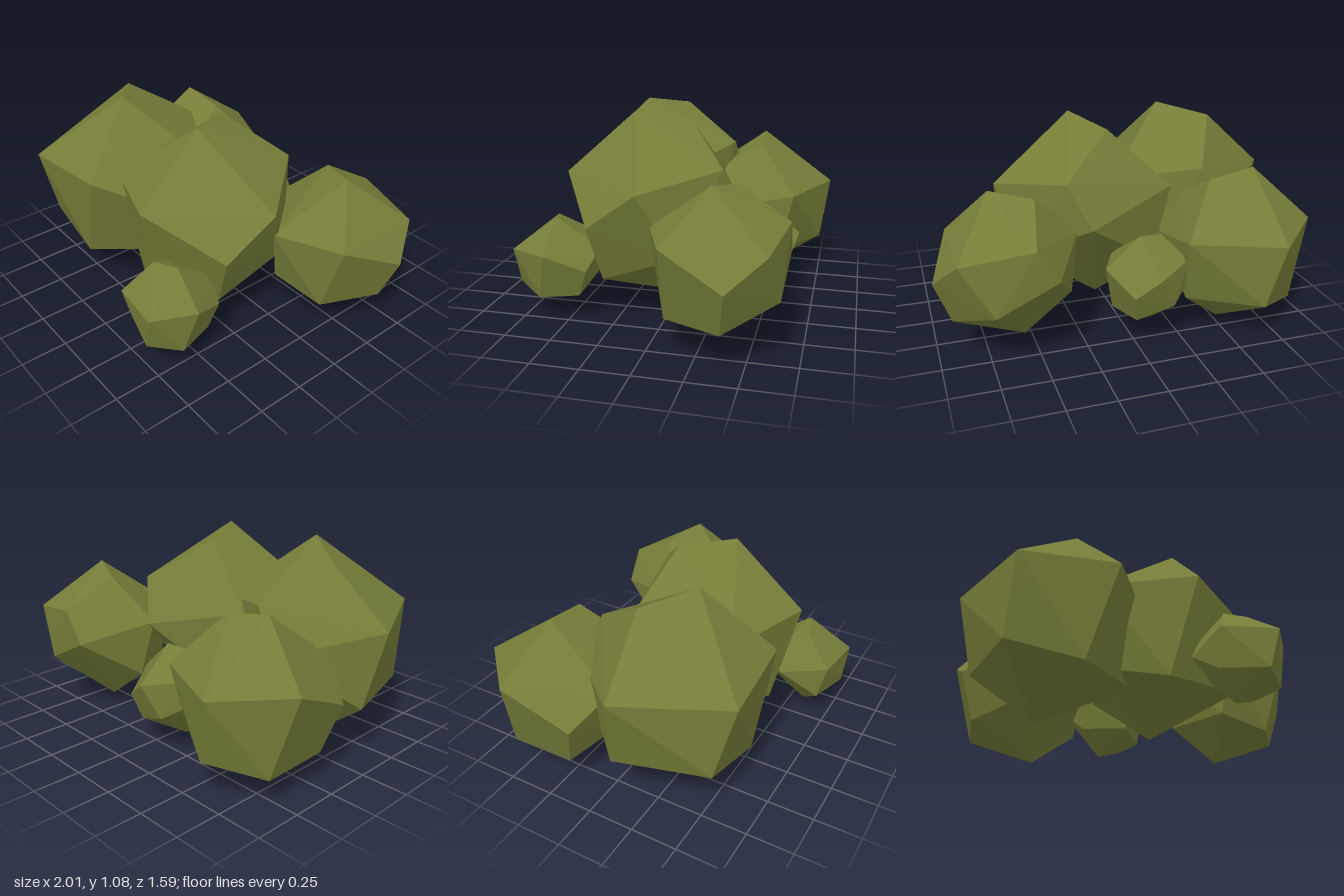
import * as THREE from 'three';
import { ConvexGeometry } from 'three/addons/geometries/ConvexGeometry.js';

// Corners of one faceted leaf clump, measured from its topmost point.
const corners = [
  [0, 0, 0], [.31, -.05, 0], [.018, -.363, -.503], [-.354, -.342, -.15], [-.095, -.342, .465],
  [.558, -.365, -.249], [.386, -.262, .36], [-.317, -.543, .301], [.52, -.49, .3],
  [-.227, -.85, .22], [-.205, -.863, -.219], [.212, -1.04, 0],
  [.11, -.78, -.44], [.523, -.78, -.15], [.126, -.7, .438],
];

// The same clump is repeated at several sizes: top point, turn in degrees, scale.
const clumps = [
  { name: 'frontLeftClump', top: [-.41, 1.08, .295], turn: 219, scale: 1 },
  { name: 'centreClump', top: [.15, 1.085, .215], turn: 243, scale: 1 },
  { name: 'backRightClump', top: [.7, .845, -.31], turn: 202.7, scale: .75 },
  { name: 'backLeftClump', top: [-.703, .855, -.385], turn: 357.5, scale: .82 },
  { name: 'smallBackClump', top: [-.05, .56, -.44], turn: 158.5, scale: .475 },
  { name: 'smallFrontClump', top: [.435, .555, .565], turn: 161, scale: .475 },
];

export function createModel() {
  const bush = new THREE.Group();
  bush.name = 'bush';
  const foliage = new THREE.MeshStandardMaterial({ color: 0x767d38, flatShading: true });
  const geometry = new ConvexGeometry(corners.map((c) => new THREE.Vector3(...c)));
  for (const { name, top, turn, scale } of clumps) {
    const clump = new THREE.Mesh(geometry, foliage);
    clump.name = name;
    clump.position.set(...top);
    clump.rotation.y = -THREE.MathUtils.degToRad(turn);
    clump.scale.setScalar(scale);
    bush.add(clump);
  }
  return bush;
}
